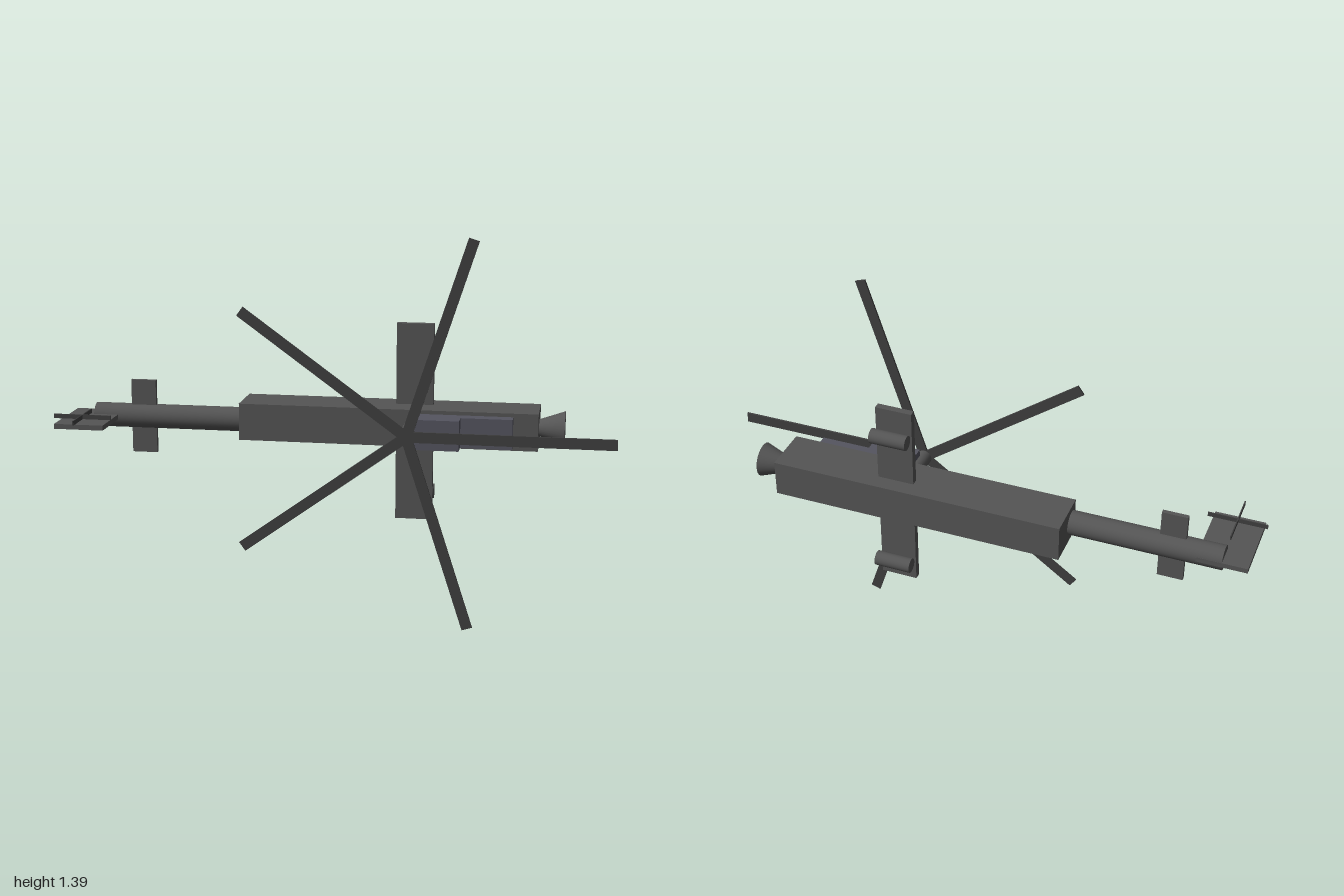
import * as THREE from 'three';

const mat = (color) => new THREE.MeshStandardMaterial({ color });

export function createModel() {
  const model = new THREE.Group();
  const hull = mat(0x555555), dark = mat(0x404040), bluish = mat(0x555560);
  const Y = 0.696; // height of the centre line

  const add = (name, geometry, material, x, y, z, parent = model) => {
    const mesh = new THREE.Mesh(geometry, material);
    mesh.name = name;
    mesh.position.set(x, y, z);
    parent.add(mesh);
    return mesh;
  };
  // Box given by its lower and upper limits
  const box = (name, material, [x0, x1], [y0, y1], [z0, z1]) =>
    add(name, new THREE.BoxGeometry(x1 - x0, y1 - y0, z1 - z0), material,
      (x0 + x1) / 2, (y0 + y1) / 2, (z0 + z1) / 2);
  // Cylinder lying along x, with its radius at each end
  const rod = (name, material, [x0, x1], r0, r1, y, z) =>
    add(name, new THREE.CylinderGeometry(r1, r0, x1 - x0, 32).rotateZ(-Math.PI / 2),
      material, (x0 + x1) / 2, y, z);

  // Fuselage, flared nose and tail boom
  box('fuselage', hull, [-0.35, 0.725], [Y - 0.067, Y + 0.067], [-0.205, -0.027]);
  rod('nose', hull, [0.64, 0.816], 0.001, 0.062, Y, -0.115);
  rod('tailBoom', hull, [-0.895, -0.34], 0.044, 0.044, Y, -0.071);

  // Stepped engine housing on the roof (the roof faces +z)
  box('engineFront', bluish, [0.455, 0.637], [Y - 0.054, Y + 0.054], [-0.03, 0.018]);
  box('engineRear', bluish, [0.278, 0.455], [Y - 0.054, Y + 0.054], [-0.03, 0.072]);

  // Stub wings with a pod under each
  box('stubWing', hull, [0.21, 0.344], [Y - 0.361, Y + 0.361], [-0.147, -0.122]);
  for (const side of [-1, 1])
    rod('pod', hull, [0.21, 0.344], 0.027, 0.027, Y + side * 0.27, -0.188);

  // Tail surfaces
  box('stabilizer', hull, [-0.76, -0.668], [Y - 0.135, Y + 0.135], [-0.077, -0.061]);
  box('tailFin', hull, [-0.985, -0.805], [Y - 0.009, Y + 0.009], [-0.115, 0.155]);

  // Mast and five-bladed main rotor
  add('mast', new THREE.CylinderGeometry(0.028, 0.028, 0.135, 32).rotateX(Math.PI / 2),
    hull, 0.275, Y, 0.0405);
  const rotor = new THREE.Group();
  rotor.name = 'mainRotor';
  rotor.position.set(0.275, Y, 0.109);
  model.add(rotor);
  const blade = new THREE.BoxGeometry(0.725, 0.038, 0.007).translate(0.3625, 0, 0);
  for (let i = 0; i < 5; i++)
    add('rotorBlade', blade, dark, 0, 0, 0, rotor).rotation.z = i * Math.PI * 2 / 5;

  // Tail rotor: two crossed blades beside the fin
  const tailBlade = new THREE.BoxGeometry(0.212, 0.016, 0.004);
  for (const angle of [0, Math.PI / 2])
    add('tailRotorBlade', tailBlade, dark, -0.894, 0.724, 0.109).rotation.y = angle;

  return model;
}
